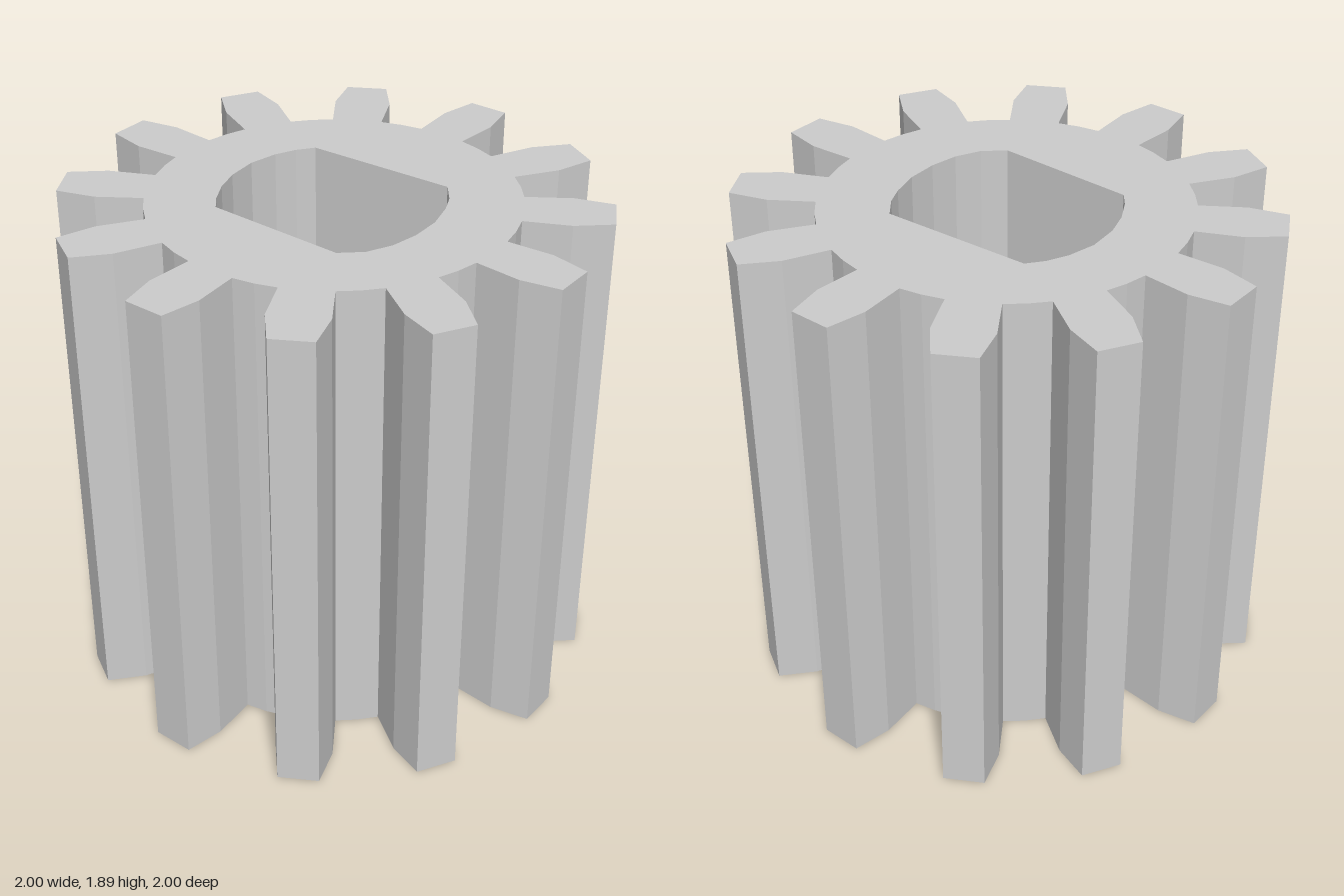
import * as THREE from 'three';

const TEETH = 12, HEIGHT = 1.89, TWIST = 0.011, ROOT = 0.68;

// Half profile of one tooth: [distance from the axis, half width]
const FLANK = [[0.673, 0.095], [0.85, 0.108], [0.998, 0.078]];

function gearOutline() {
  const pts = [];
  for (let i = 0; i < TEETH; i++) {
    const a = (i / TEETH) * Math.PI * 2 + TWIST;
    const c = Math.cos(a), s = Math.sin(a);
    const add = (r, w) => pts.push(new THREE.Vector2(r * c - w * s, r * s + w * c));
    // up one flank, across the tip, down the other
    FLANK.forEach(([r, w]) => add(r, -w));
    [...FLANK].reverse().forEach(([r, w]) => add(r, w));
    // middle of the valley floor
    const m = a + Math.PI / TEETH;
    pts.push(new THREE.Vector2(ROOT * Math.cos(m), ROOT * Math.sin(m)));
  }
  return pts;
}

// Shaft bore: two faceted arcs joined by two flats, as [x, z]
const BORE = [
  [-0.13, -0.405], [0.393, -0.143], [0.408, -0.05], [0.402, 0.03], [0.375, 0.14],
  [0.32, 0.245], [0.25, 0.33], [0.165, 0.39], [0.067, 0.412],
  [-0.403, 0.135], [-0.415, 0.07], [-0.415, -0.03], [-0.395, -0.13],
  [-0.345, -0.24], [-0.27, -0.325], [-0.2, -0.375],
];

export function createModel() {
  const group = new THREE.Group();
  group.name = 'pinionGear';

  const shape = new THREE.Shape(gearOutline());
  shape.holes.push(new THREE.Path(BORE.map(([x, z]) => new THREE.Vector2(x, -z))));

  // Extrude the toothed section upward from the ground
  const geometry = new THREE.ExtrudeGeometry(shape, { depth: HEIGHT, bevelEnabled: false });
  geometry.rotateX(-Math.PI / 2);

  const gear = new THREE.Mesh(
    geometry,
    new THREE.MeshStandardMaterial({ color: 0xcccccc, flatShading: true })
  );
  gear.name = 'gearBody';
  group.add(gear);
  return group;
}
